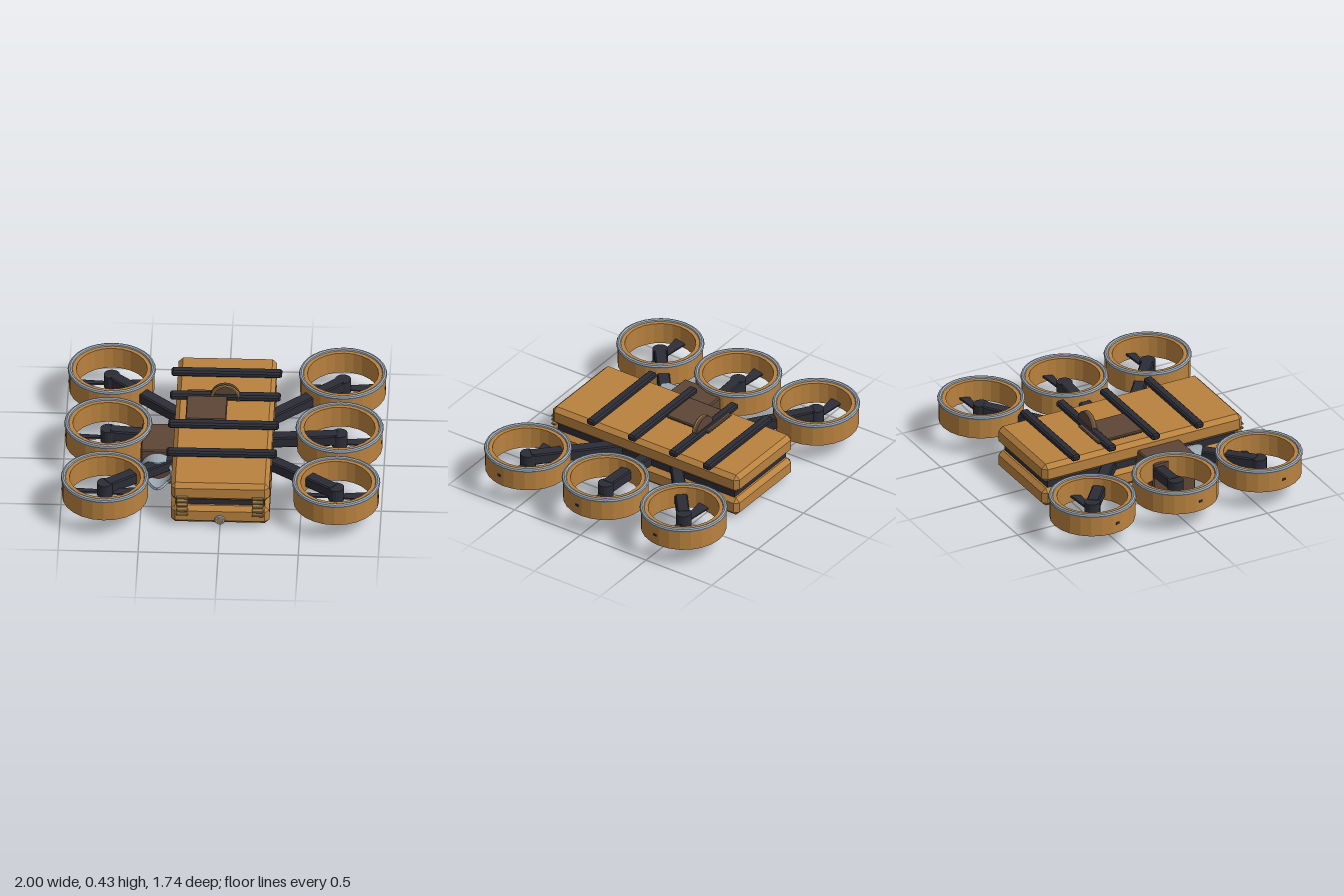
import * as THREE from 'three';
import { ConvexGeometry } from 'three/addons/geometries/ConvexGeometry.js';

const mat = (name, color, side = THREE.FrontSide) => {
  const m = new THREE.MeshStandardMaterial({ color, side });
  m.name = name;
  return m;
};

// Flat facets
const flat = (g) => {
  const f = g.index ? g.toNonIndexed() : g;
  f.computeVertexNormals();
  return f;
};

// Box with every edge cut at 45 degrees
function chamferBox(w, h, d, c) {
  const pts = [];
  for (const x of [-1, 1]) for (const y of [-1, 1]) for (const z of [-1, 1]) {
    const a = w / 2, b = h / 2, e = d / 2;
    pts.push(
      new THREE.Vector3(x * a, y * (b - c), z * (e - c)),
      new THREE.Vector3(x * (a - c), y * b, z * (e - c)),
      new THREE.Vector3(x * (a - c), y * (b - c), z * e));
  }
  return new ConvexGeometry(pts);
}

export function createModel() {
  const model = new THREE.Group();
  model.name = 'multirotor';
  const ochre = mat('ochre shell', 0xb9823f);
  const dark = mat('dark frame', 0x2c2c36);
  const grey = mat('grey metal', 0x9ba6b1, THREE.DoubleSide);
  const brown = mat('brown panel', 0x5d4637);
  const brass = mat('brass trim', 0x9c7c46);

  const add = (name, geo, material, x = 0, y = 0, z = 0, parent = model) => {
    const m = new THREE.Mesh(geo, material);
    m.name = name;
    m.position.set(x, y, z);
    parent.add(m);
    return m;
  };
  const disc = (r, len, n = 24) => flat(new THREE.CylinderGeometry(r, r, len, n).rotateX(Math.PI / 2));

  // Two-slab hull with a recessed core
  add('lowerHull', chamferBox(0.615, 0.125, 1.42, 0.028), ochre, 0, 0.0825, 0);
  add('upperHull', chamferBox(0.615, 0.125, 1.42, 0.028), ochre, 0, 0.2525, 0);
  add('core', new THREE.BoxGeometry(0.56, 0.07, 1.34), dark, 0, 0.167, 0);

  // Cross bars on the roof
  for (const z of [-0.497, -0.24, 0.072, 0.382])
    add('roofBar', chamferBox(0.69, 0.042, 0.06, 0.011), dark, 0, 0.337, z);

  // Roof panel and upright wheel
  add('roofPanel', chamferBox(0.255, 0.02, 0.325, 0.006), brown, -0.112, 0.34, -0.128);
  add('wheelDisc', disc(0.092, 0.022), brown, 0, 0.34, -0.238);
  add('wheelRing', flat(new THREE.TorusGeometry(0.083, 0.01, 6, 24)), brass, 0, 0.34, -0.22);

  // Front vents
  for (const s of [-1, 1]) for (const y of [0.225, 0.195, 0.165, 0.13, 0.1])
    add('ventSlat', chamferBox(0.072, 0.013, 0.036, 0.004), brass, s * 0.236, y, 0.714);

  // Front sensor
  add('sensorRing', flat(new THREE.TorusGeometry(0.025, 0.009, 6, 18)), grey, 0, 0.06, 0.718);
  add('sensorEye', disc(0.02, 0.02, 16), brass, 0, 0.06, 0.716);

  // Belly fittings
  add('bellyPad', chamferBox(0.1, 0.026, 0.19, 0.005), dark, 0, 0.013, 0.4);
  add('bellyKnob', new THREE.CylinderGeometry(0.013, 0.013, 0.02, 12), dark, 0, 0.018, 0.61);

  // Side pod with a scalloped hood
  add('sidePod', chamferBox(0.23, 0.252, 0.302, 0.008), brown, -0.397, 0.13, 0.107);
  const hoodProfile = [[0.104, 0], [0.104, 0.105], [0.086, 0.105], [0.086, 0]].map(p => new THREE.Vector2(...p));
  const hood = new THREE.LatheGeometry(hoodProfile, 32).rotateX(Math.PI / 2);
  const hp = hood.attributes.position;
  for (let i = 0; i < hp.count; i++) {
    if (hp.getZ(i) > 0.05) {
      const a = Math.atan2(hp.getY(i), hp.getX(i));
      hp.setZ(i, 0.085 + 0.022 * Math.cos(4 * a - Math.PI * 2));
    }
  }
  add('podHood', flat(hood), grey, -0.405, 0.132, 0.256);
  add('podEye', disc(0.024, 0.03, 16), brass, -0.405, 0.132, 0.27);

  // Shared rotor geometry
  const ductGeo = flat(new THREE.LatheGeometry(
    [[0.222, 0.137], [0.268, 0.137], [0.268, 0.282], [0.222, 0.282], [0.222, 0.137]]
      .map(p => new THREE.Vector2(...p)), 24));
  const rimGeo = flat(new THREE.TorusGeometry(0.26, 0.0155, 8, 32).rotateX(Math.PI / 2));
  const hubGeo = flat(new THREE.CylinderGeometry(0.05, 0.05, 0.09, 16));
  const bladeShape = new THREE.Shape();
  bladeShape.moveTo(0.03, -0.018);
  bladeShape.lineTo(0.219, -0.036);
  bladeShape.lineTo(0.219, 0.036);
  bladeShape.lineTo(0.03, 0.018);
  const bladeGeo = new THREE.ExtrudeGeometry(bladeShape, { depth: 0.012, bevelEnabled: false })
    .rotateX(-Math.PI / 2).translate(0, -0.006, 0).rotateX(0.2);
  const boltGeo = new THREE.BoxGeometry(0.008, 0.014, 0.024);

  // Six ducted rotors on arms
  for (const s of [-1, 1]) for (const k of [-1, 0, 1]) {
    const rotor = new THREE.Group();
    rotor.name = 'rotor';
    rotor.position.set(s * 0.722, 0, k * 0.592);
    model.add(rotor);
    add('duct', ductGeo, ochre, 0, 0, 0, rotor);
    add('ductRim', rimGeo, grey, 0, 0.279, 0, rotor);
    add('hub', hubGeo, dark, 0, 0.195, 0, rotor);
    for (const r of [0, Math.PI])
      add('blade', bladeGeo, dark, 0, 0.172, 0, rotor).rotation.y = r;

    // Bolt on the outer wall
    const a = Math.PI / 24;
    const bolt = add('ductBolt', boltGeo, dark, s * 0.266 * Math.cos(a), 0.203, 0.266 * Math.sin(a), rotor);
    bolt.rotation.y = -s * a;

    // Arm from hull to hub
    const from = new THREE.Vector3(s * 0.24, 0.175, k * 0.2);
    const to = new THREE.Vector3(s * 0.715, 0.205, k * 0.587);
    const arm = add('arm', chamferBox(0.08, 0.075, from.distanceTo(to), 0.008), dark);
    arm.position.copy(from).lerp(to, 0.5);
    arm.lookAt(to);
  }
  return model;
}
